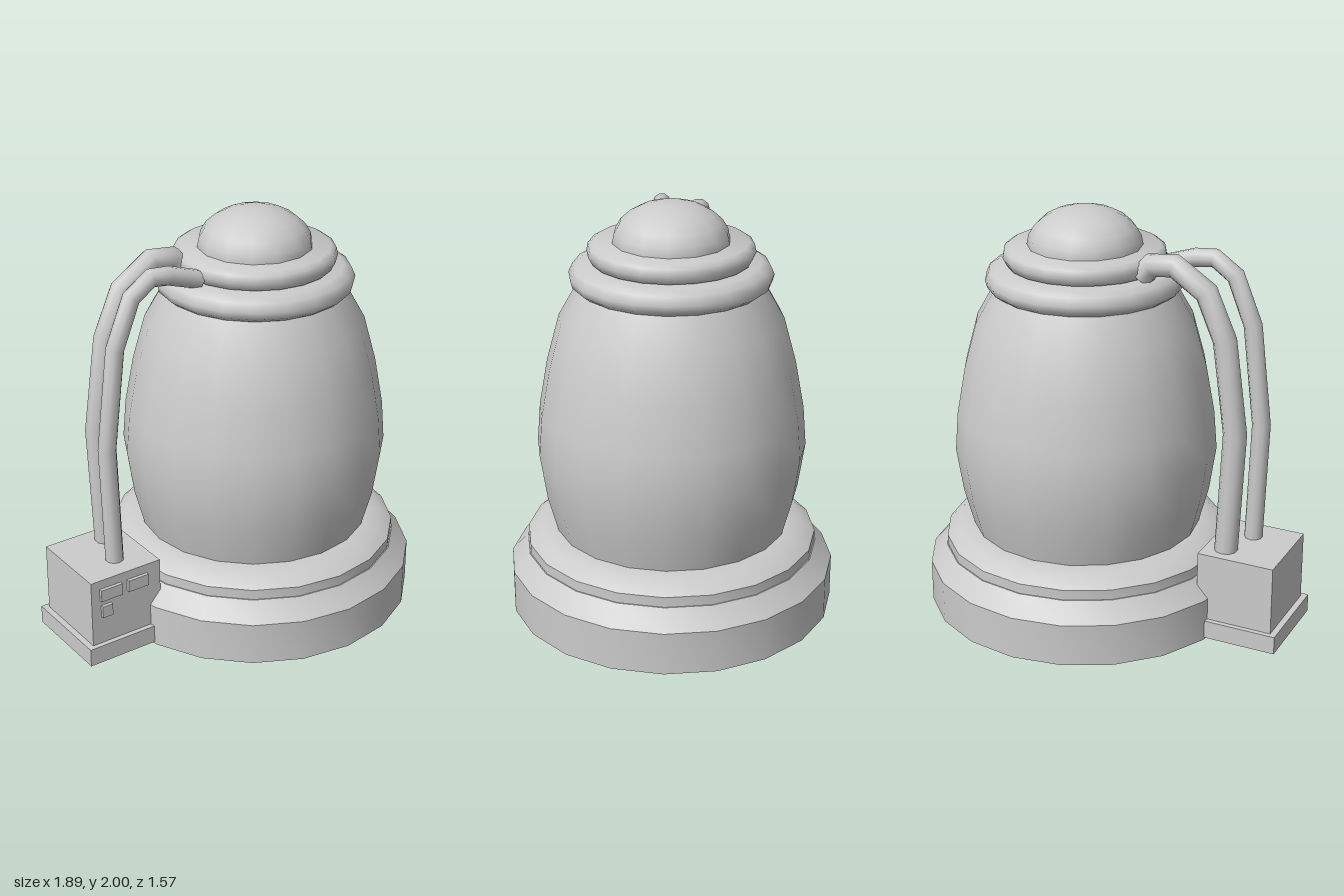
import * as THREE from 'three';
import { toCreasedNormals } from 'three/addons/utils/BufferGeometryUtils.js';

const material = new THREE.MeshStandardMaterial({ color: 0xcccccc });
const AXIS_X = 0.16; // the vessel stands to the left of the control box

// Curve whose samples fall exactly on the given bends
class BendPath extends THREE.Curve {
  constructor(points, z) {
    super();
    this.points = points.map(([x, y]) => new THREE.Vector3(x, y, z));
  }
  getPointAt(u) {
    return this.points[Math.round(u * (this.points.length - 1))].clone();
  }
  getTangentAt(u) {
    const p = this.points, i = Math.round(u * (p.length - 1));
    const t = new THREE.Vector3();
    if (i > 0) t.add(p[i].clone().sub(p[i - 1]).normalize());
    if (i < p.length - 1) t.add(p[i + 1].clone().sub(p[i]).normalize());
    return t.normalize();
  }
}

export function createModel() {
  const model = new THREE.Group();

  const add = (name, geometry, x = 0, y = 0, z = 0) => {
    const mesh = new THREE.Mesh(geometry, material);
    mesh.name = name;
    mesh.position.set(x, y, z);
    model.add(mesh);
    return mesh;
  };
  const turned = (name, profile, crease) => {
    const lathe = new THREE.LatheGeometry(profile.map(([r, y]) => new THREE.Vector2(r, y)), 20);
    return add(name, crease ? toCreasedNormals(lathe, crease) : lathe, AXIS_X);
  };
  const box = (name, x0, x1, y0, y1, z0, z1) => add(name,
    new THREE.BoxGeometry(x1 - x0, y1 - y0, z1 - z0), (x0 + x1) / 2, (y0 + y1) / 2, (z0 + z1) / 2);

  // Stepped round foot
  turned('base', [[0, 0], [0.785, 0], [0.785, 0.21], [0.705, 0.3], [0, 0.3]], 0.6);
  turned('baseStep', [[0.6, 0.3], [0.7, 0.3], [0.7, 0.35], [0.64, 0.397], [0.56, 0.41], [0, 0.41]], 0.6);

  // Barrel-shaped body
  turned('body', [[0.56, 0.4], [0.61, 0.59], [0.642, 0.81], [0.627, 1.0], [0.585, 1.23],
    [0.525, 1.45], [0.435, 1.61]]);

  // Collar rings and dome
  turned('lowerCollar', [[0.3, 1.6], [0.435, 1.602], [0.465, 1.625], [0.475, 1.66], [0.457, 1.7],
    [0.42, 1.722], [0.3, 1.725]], 0.95);
  turned('upperCollar', [[0.34, 1.72], [0.37, 1.727], [0.39, 1.765], [0.383, 1.8], [0.36, 1.815], [0, 1.815]], 0.95);
  add('dome', new THREE.SphereGeometry(0.275, 14, 6, 0, Math.PI * 2, 0, Math.PI / 2), AXIS_X, 1.81)
    .scale.y = 0.19 / 0.275;

  // Control box with plinth and raised buttons
  box('controlBox', -0.915, -0.535, 0.09, 0.44, -0.21, 0.205);
  box('controlPlinth', -0.945, -0.5, 0.01, 0.1, -0.235, 0.23);
  const buttons = [[-0.87, -0.755, 0.335, 0.395], [-0.72, -0.61, 0.335, 0.395], [-0.865, -0.81, 0.245, 0.305]];
  buttons.forEach((b, i) => box(`button${i + 1}`, ...b, 0.2, 0.222));

  // Hoses from the control box to the upper collar
  const hose = (name, points, z, radius) =>
    add(name, new THREE.TubeGeometry(new BendPath(points, z), points.length - 1, radius, 10));
  hose('frontHose', [[-0.704, 0.4], [-0.725, 1.03], [-0.667, 1.515], [-0.575, 1.74], [-0.47, 1.812],
    [-0.375, 1.802], [-0.21, 1.747]], 0.075, 0.044);
  hose('backHose', [[-0.637, 0.4], [-0.667, 1.04], [-0.605, 1.49], [-0.51, 1.705], [-0.35, 1.81],
    [-0.235, 1.797], [-0.19, 1.74]], -0.11, 0.056);

  return model;
}
